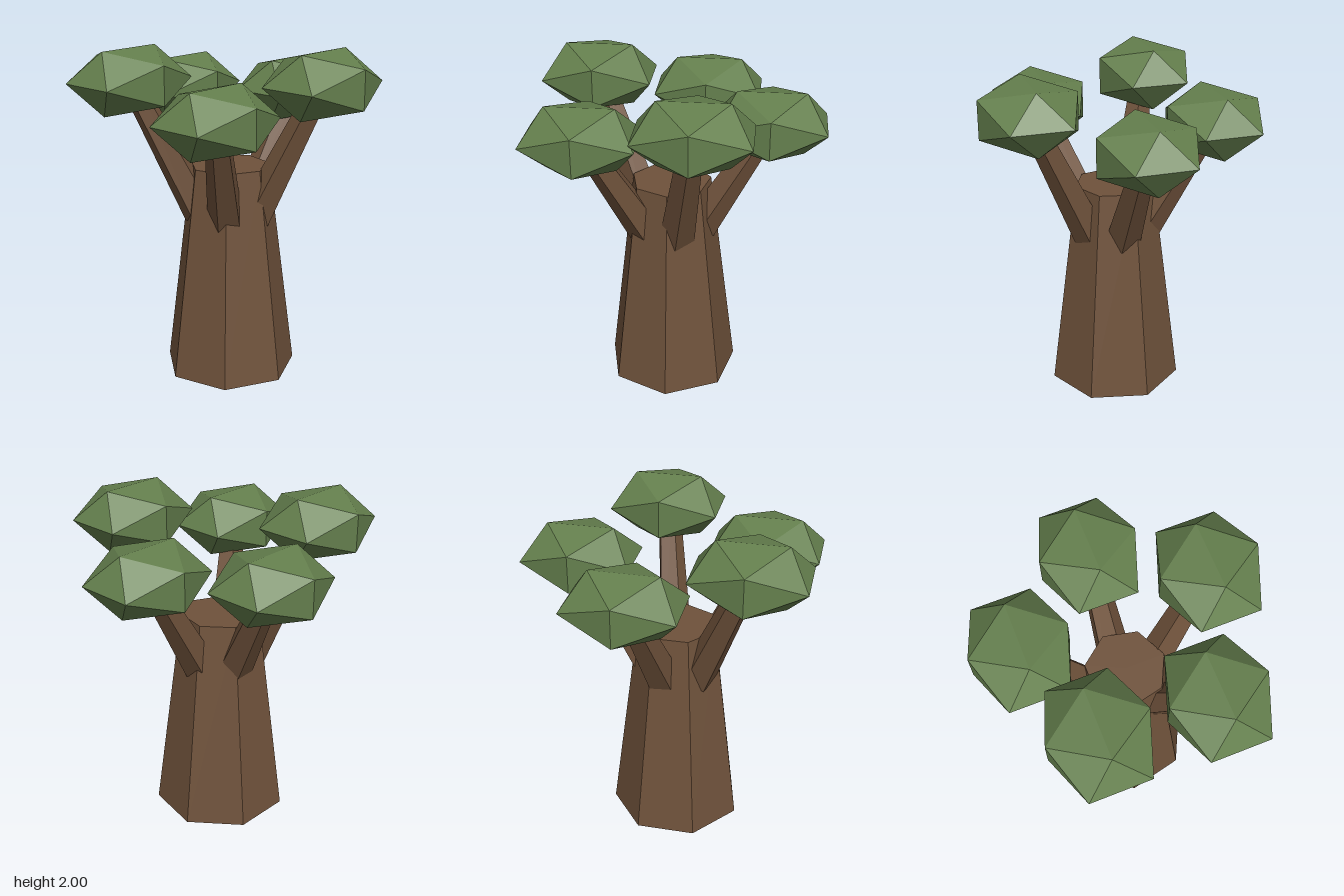
import * as THREE from 'three';

const bark = new THREE.MeshStandardMaterial({ color: 0x6f523b, flatShading: true });
bark.name = 'bark brown';
const leaf = new THREE.MeshStandardMaterial({ color: 0x647f4d, flatShading: true });
leaf.name = 'leaf green';

const UP = new THREE.Vector3(0, 1, 0);
const CENTRE_X = -0.057;

// Tapered low-poly limb running between two points
function limb(name, from, to, r0, r1, sides) {
  const dir = to.clone().sub(from);
  const mesh = new THREE.Mesh(new THREE.CylinderGeometry(r1, r0, dir.length(), sides), bark);
  mesh.name = name;
  mesh.position.copy(from).add(to).multiplyScalar(0.5);
  mesh.quaternion.setFromUnitVectors(UP, dir.normalize());
  return mesh;
}

export function createModel() {
  const tree = new THREE.Group();
  tree.name = 'tree';

  // Seven-sided trunk
  tree.add(limb('trunk', new THREE.Vector3(CENTRE_X, 0, 0),
    new THREE.Vector3(CENTRE_X, 1.29, 0), 0.405, 0.24, 7));

  // Flattened leaf clump shared by every branch
  const clump = new THREE.IcosahedronGeometry(1, 0).scale(0.378, 0.216, 0.333);

  // Five branches around the trunk, at alternating heights
  const heights = [1.676, 1.816, 1.676, 1.816, 1.676];
  heights.forEach((y, i) => {
    const a = (i * Math.PI * 2) / 5;
    const at = (r, h) => new THREE.Vector3(CENTRE_X + r * Math.cos(a), h, r * Math.sin(a));
    const tip = at(0.577, y);
    tree.add(limb('branch', at(0.17, 0.99), tip, 0.11, 0.068, 5));

    const foliage = new THREE.Mesh(clump, leaf);
    foliage.name = 'foliage';
    foliage.position.copy(tip);
    tree.add(foliage);
  });

  return tree;
}
